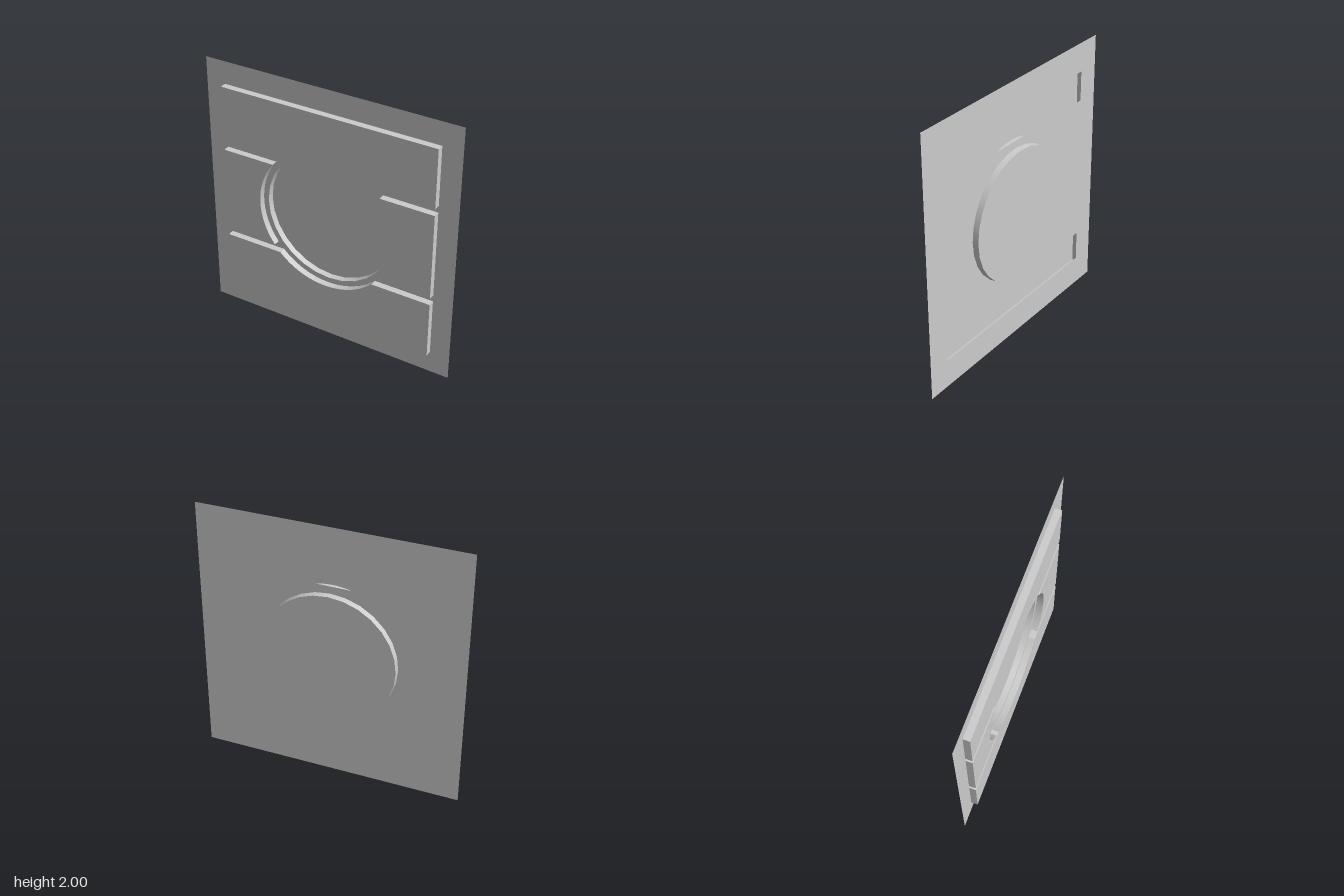
import * as THREE from 'three';

const CY = 1;          // height of the centre
const DEPTH = 0.05;    // how far the panels stand forward
const CUT = 0.54;      // radius of the round cut in the panels
const SIDES = 28;      // sides of the round dish

const material = new THREE.MeshStandardMaterial({ color: 0xcccccc, side: THREE.DoubleSide });

function addMesh(parent, geometry, name) {
  const mesh = new THREE.Mesh(geometry, material);
  mesh.name = name;
  parent.add(mesh);
  return mesh;
}

// corners of a rectangle, counter-clockwise
function rect(x0, y0, x1, y1) {
  return [[x0, y0], [x1, y0], [x1, y1], [x0, y1]].map(p => new THREE.Vector2(...p));
}

// points on a circle about the centre, from angle a to angle b
function arc(radius, a, b, steps) {
  return Array.from({ length: steps + 1 }, (_, i) => {
    const t = a + (b - a) * i / steps;
    return new THREE.Vector2(radius * Math.cos(t), radius * Math.sin(t));
  });
}

// flat-shaded wall standing along a closed outline, facing outward
function wallGeometry(points, z0, z1) {
  const pos = [];
  points.forEach((p, i) => {
    const q = points[(i + 1) % points.length];
    pos.push(p.x, p.y, z0, q.x, q.y, z0, q.x, q.y, z1);
    pos.push(p.x, p.y, z0, q.x, q.y, z1, p.x, p.y, z1);
  });
  const g = new THREE.BufferGeometry();
  g.setAttribute('position', new THREE.Float32BufferAttribute(pos, 3));
  g.computeVertexNormals();
  return g;
}

// hollow raised panel: front face and surrounding wall, open at the back
function makePanel(points, name) {
  const panel = new THREE.Group();
  panel.name = name;
  const face = new THREE.ShapeGeometry(new THREE.Shape(points));
  face.translate(0, 0, DEPTH);
  addMesh(panel, face, name + 'Face');
  addMesh(panel, wallGeometry(points, 0, DEPTH), name + 'Wall');
  return panel;
}

export function createModel() {
  const model = new THREE.Group();
  model.name = 'wallPanel';
  const body = new THREE.Group();
  body.name = 'body';
  body.position.y = CY;
  model.add(body);

  // thin back sheet with a round opening and two slots behind the panels
  const sheet = new THREE.Shape(rect(-0.985, -1, 0.985, 1));
  sheet.holes.push(new THREE.Path(arc(0.5, 0, Math.PI * 2, SIDES).slice(0, -1).reverse()));
  for (const y of [0.555, -0.78]) {
    sheet.holes.push(new THREE.Path(rect(-0.805, y, 0.805, y + 0.225).reverse()));
  }
  addMesh(body, new THREE.ShapeGeometry(sheet), 'backSheet');

  // long panels, above and below
  const longStart = Math.asin(0.385 / CUT);
  const upper = [
    new THREE.Vector2(0.835, 0.385), new THREE.Vector2(0.835, 0.828),
    new THREE.Vector2(-0.835, 0.828), new THREE.Vector2(-0.835, 0.385),
    ...arc(CUT, Math.PI - longStart, longStart, 32),
  ];
  const lower = upper.map(p => new THREE.Vector2(p.x, -p.y)).reverse();
  body.add(makePanel(upper, 'upperPanel'), makePanel(lower, 'lowerPanel'));

  // short panels, left and right of the dish
  const shortEnd = Math.asin(0.333 / CUT);
  const left = [
    new THREE.Vector2(0.835, -0.333), new THREE.Vector2(0.835, 0.333),
    ...arc(CUT, shortEnd, -shortEnd, 24),
  ];
  const right = left.map(p => new THREE.Vector2(-p.x, p.y)).reverse();
  body.add(makePanel(left, 'leftPanel'), makePanel(right, 'rightPanel'));

  // round dish sunk behind the sheet: slightly tapered rim and flat floor
  const rim = new THREE.CylinderGeometry(0.5, 0.497, 0.045, SIDES, 1, true);
  rim.rotateX(Math.PI / 2).translate(0, 0, -0.0225);
  addMesh(body, rim, 'dishRim');
  const floor = new THREE.CircleGeometry(0.497, SIDES);
  floor.translate(0, 0, -0.045);
  addMesh(body, floor, 'dishFloor');

  return model;
}
